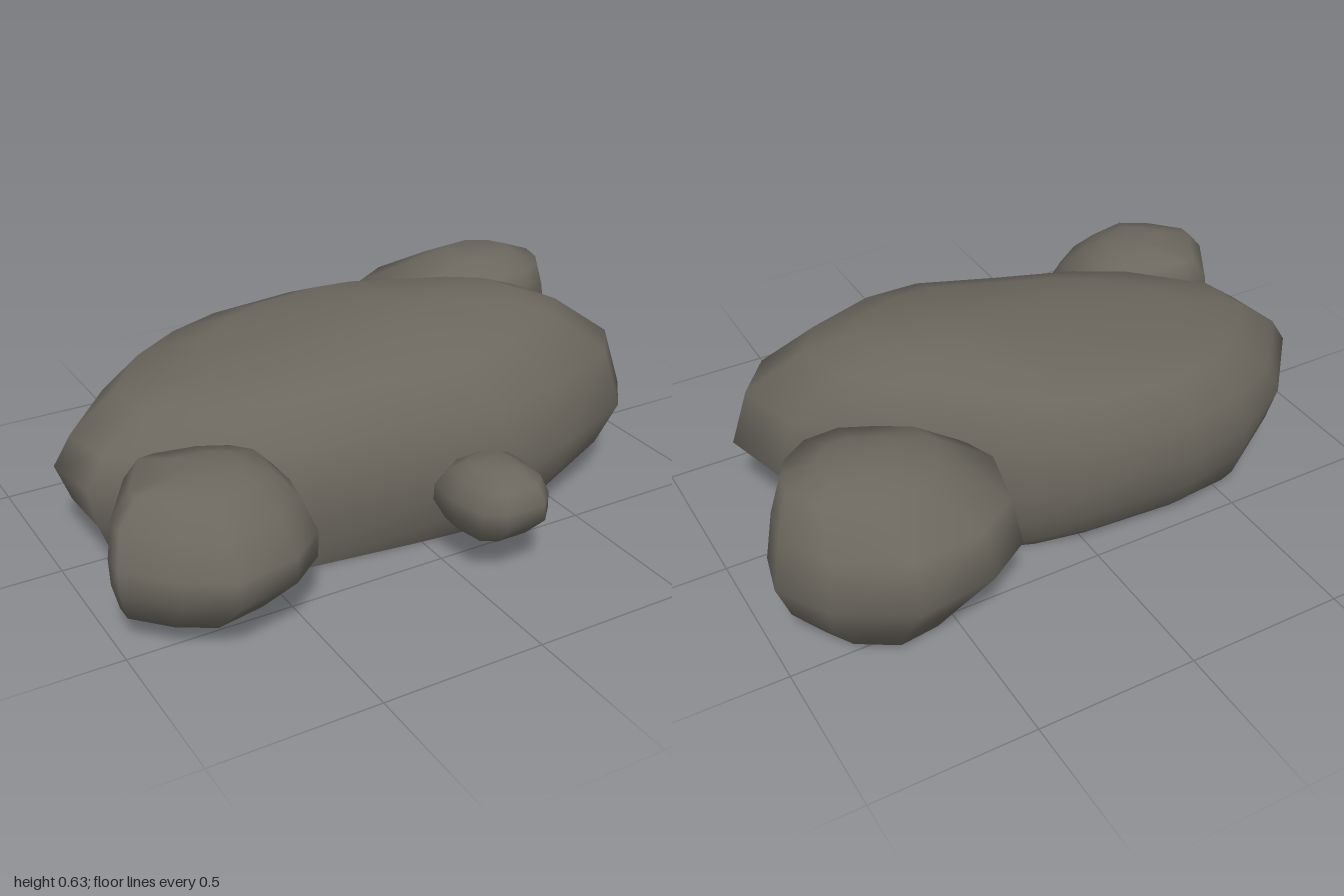
import * as THREE from 'three';

// Lofts a smooth stone through closed rings of [x, y, z], listed from bottom to top.
function loft(rings, topY, bottomY) {
  const n = rings[0].length;
  const pos = rings.flat(2);
  const idx = [];
  for (let i = 0; i < rings.length - 1; i++) {
    for (let j = 0; j < n; j++) {
      const k = (j + 1) % n;
      const a = i * n + j, b = i * n + k, c = a + n, d = b + n;
      idx.push(a, c, b, b, c, d);
    }
  }
  // Adds a fan that closes one end
  const cap = (ringNo, y, up) => {
    const ring = rings[ringNo];
    const mid = pos.length / 3;
    const mean = axis => ring.reduce((s, p) => s + p[axis], 0) / n;
    pos.push(mean(0), y, mean(2));
    for (let j = 0; j < n; j++) {
      const a = ringNo * n + j, b = ringNo * n + (j + 1) % n;
      if (up) idx.push(mid, b, a);
      else idx.push(mid, a, b);
    }
  };
  cap(rings.length - 1, topY, true);
  if (bottomY !== undefined) cap(0, bottomY, false);
  const geo = new THREE.BufferGeometry();
  geo.setAttribute('position', new THREE.Float32BufferAttribute(pos, 3));
  geo.setIndex(idx);
  geo.computeVertexNormals();
  return geo;
}

// Boulder: one plan outline scaled about a centre; levels are [y, scale, dx, dz]
function boulder(outline, [cx, cz], levels, topY, bottomY) {
  const rings = levels.map(([y, s, dx = 0, dz = 0]) =>
    outline.map(([x, z]) => [cx + (x - cx) * s + dx, y, cz + (z - cz) * s + dz]));
  return loft(rings, topY, bottomY);
}

export function createModel() {
  const group = new THREE.Group();
  const stone = new THREE.MeshStandardMaterial({ color: 0x6b675e });
  stone.name = 'stone';
  const add = (name, geo) => {
    const mesh = new THREE.Mesh(geo, stone);
    mesh.name = name;
    group.add(mesh);
  };

  // Main rock: plan outlines of its waist and of its flat foot
  const waist = [
    [0.86, 0.23], [0.75, 0.37], [0.47, 0.49], [0.23, 0.52], [-0.1, 0.44], [-0.43, 0.37],
    [-0.65, 0.28], [-0.92, 0.06], [-0.95, -0.14], [-0.75, -0.37], [-0.55, -0.48],
    [-0.34, -0.53], [0.01, -0.51], [0.19, -0.45], [0.4, -0.31], [0.65, -0.14], [0.8, 0.01],
  ];
  const foot = [
    [0.45, 0.23], [0.41, 0.31], [0.32, 0.37], [0.2, 0.41], [-0.02, 0.39], [-0.42, 0.34],
    [-0.64, 0.22], [-0.82, 0.06], [-0.75, -0.12], [-0.67, -0.25], [-0.54, -0.39],
    [-0.32, -0.41], [-0.02, -0.39], [0.14, -0.36], [0.32, -0.29], [0.38, -0.13], [0.42, 0.05],
  ];
  // The crown rises towards the left end
  const crown = x => Math.min(0.65, 0.6 + 0.1 * x);
  const lower = [[0, 0], [0.06, 0.45], [0.15, 0.78], [0.27, 1]].map(([y, t]) =>
    foot.map(([x, z], j) => [
      THREE.MathUtils.lerp(x, waist[j][0], t), y, THREE.MathUtils.lerp(z, waist[j][1], t),
    ]));
  // Upper levels are [share of crown height, scale, dx, dz]
  const upper = [
    [0.7, 0.94, 0, -0.01], [0.89, 0.77, -0.02, -0.03], [0.96, 0.56, 0.03, -0.03],
    [0.995, 0.26, 0.1, -0.01],
  ].map(([t, s, dx, dz]) => waist.map(([x, z]) => {
    const px = x * s + dx;
    return [px, crown(px) * t, z * s + dz];
  }));
  add('mainRock', loft([...lower, ...upper], 0.62));
  const base = new THREE.ShapeGeometry(new THREE.Shape(foot.map(p => new THREE.Vector2(...p))));
  add('mainRockBase', base.rotateX(Math.PI / 2));

  // Large boulder at the back left
  add('largeBoulder', boulder([
    [0.28, -0.42], [0.33, -0.62], [0.47, -0.71], [0.7, -0.74], [0.91, -0.61], [1, -0.46],
    [0.97, -0.33], [0.92, -0.25], [0.79, -0.16], [0.62, -0.15], [0.47, -0.22], [0.32, -0.31],
  ], [0.64, -0.45], [
    [0.01, 0.4, 0, 0.02], [0.025, 0.54, 0.02, 0.04], [0.14, 0.8, 0.02, 0.04], [0.29, 1],
    [0.44, 0.92, 0, 0.01], [0.53, 0.62, 0.05, 0.08], [0.565, 0.33, 0.06, 0.07],
  ], 0.57, 0));

  // Medium boulder at the front right
  add('mediumBoulder', boulder([
    [-0.8, 0.19], [-0.62, 0.22], [-0.5, 0.28], [-0.43, 0.36], [-0.43, 0.46], [-0.45, 0.57],
    [-0.56, 0.66], [-0.75, 0.7], [-0.88, 0.62], [-1, 0.49], [-1, 0.42], [-0.87, 0.2],
  ], [-0.72, 0.45], [
    [0.055, 0.4, 0.02, -0.01], [0.085, 0.77, -0.03, -0.04], [0.19, 0.99], [0.27, 1],
    [0.36, 0.9, 0, -0.04], [0.43, 0.68, 0, -0.06], [0.455, 0.35, 0.02, -0.05],
  ], 0.46, 0.05));

  // Small stone at the front
  add('smallStone', boulder([
    [0.05, 0.43], [0.15, 0.42], [0.24, 0.47], [0.255, 0.55], [0.245, 0.68],
    [0.19, 0.74], [0.06, 0.74], [0, 0.7], [-0.025, 0.58], [-0.02, 0.48],
  ], [0.115, 0.58], [
    [0.1, 0.4, 0, -0.02], [0.13, 0.72, 0, -0.02], [0.2, 1], [0.25, 0.99],
    [0.305, 0.8, 0, 0.01], [0.33, 0.45],
  ], 0.335, 0.095));

  return group;
}
